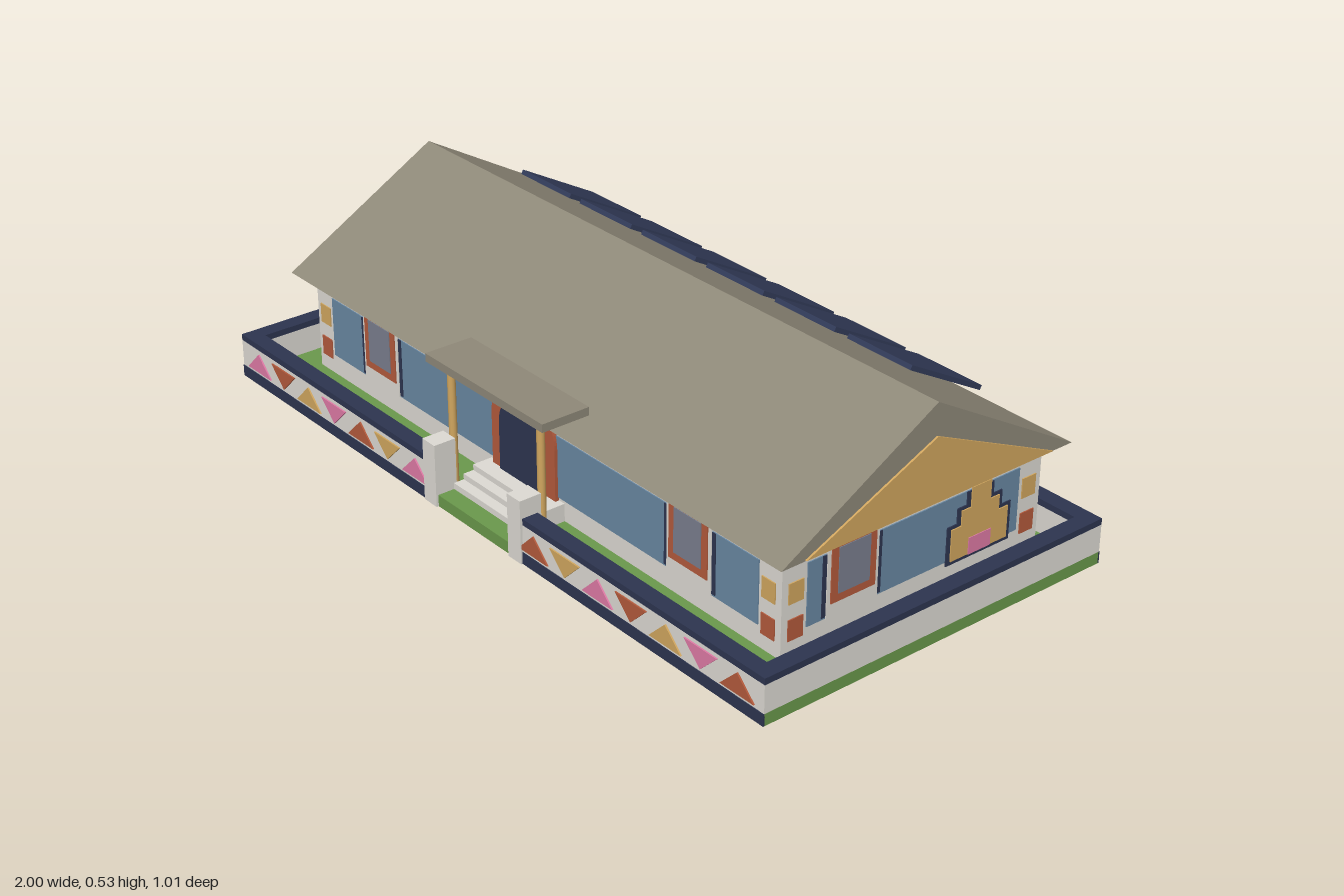
import * as THREE from 'three';

const mat = (name, color) => Object.assign(new THREE.MeshStandardMaterial({ color }), { name });
const M = {
  roof: mat('roofTaupe', 0x8f8979),
  white: mat('limewash', 0xdedbd4),
  navy: mat('navy', 0x2d3550),
  green: mat('lawnGreen', 0x6b994c),
  ochre: mat('ochre', 0xd2a75f),
  blue: mat('wallBlue', 0x6988a3),
  terra: mat('terracotta', 0xb45a3c),
  glass: mat('windowGlass', 0x7b7f8e),
  pink: mat('pink', 0xdf7ba6),
  solar: mat('solarBlue', 0x323b59),
};
const CZ = -0.04; // centre of the house in z

function add(parent, name, geo, material) {
  const mesh = new THREE.Mesh(geo, material);
  mesh.name = name;
  parent.add(mesh);
  return mesh;
}
// Box given by its limits on each axis
function box(parent, name, material, x0, x1, y0, y1, z0, z1) {
  const m = add(parent, name, new THREE.BoxGeometry(x1 - x0, y1 - y0, z1 - z0), material);
  m.position.set((x0 + x1) / 2, (y0 + y1) / 2, (z0 + z1) / 2);
  return m;
}
function extrude(parent, name, material, points, depth, z) {
  const shape = new THREE.Shape(points.map(([x, y]) => new THREE.Vector2(x, y)));
  const m = add(parent, name, new THREE.ExtrudeGeometry(shape, { depth, bevelEnabled: false }), material);
  m.position.z = z;
  return m;
}
// Flat plate on a facade, standing out from the wall plane z = 0
const plate = (g, name, m, x, halfW, y0, y1, out) =>
  box(g, name, m, x - halfW, x + halfW, y0, y1, out - 0.003, out);

function windowUnit(g, x) {
  plate(g, 'windowNavyBand', M.navy, x, 0.085, 0.09, 0.243, 0.005);
  plate(g, 'windowSurround', M.white, x, 0.074, 0.085, 0.28, 0.007);
  plate(g, 'windowFrame', M.terra, x, 0.064, 0.12, 0.27, 0.010);
  plate(g, 'windowGlass', M.glass, x, 0.045, 0.14, 0.253, 0.012);
}

// Stepped pyramid ornament with a navy outline
function motif(g, x) {
  const tiers = [[0.087, 0.165], [0.058, 0.203], [0.03, 0.252]];
  tiers.forEach(([w, top], i) => {
    const bottom = i ? tiers[i - 1][1] : 0.085;
    plate(g, 'motifOutline', M.navy, x, w + 0.011, bottom - 0.01 * (i ? 0 : 1), Math.min(top + 0.008, 0.243), 0.006);
    plate(g, 'motifTier', M.ochre, x, w, bottom, top, 0.009);
  });
  plate(g, 'motifHeart', M.pink, x, 0.034, 0.085, 0.127, 0.011);
}

function facade(parent, name, halfW, windows, motifs) {
  const g = new THREE.Group();
  g.name = name;
  plate(g, 'bluePanel', M.blue, 0, halfW - 0.07, 0.085, 0.243, 0.003);
  for (const s of [-1, 1]) {
    const x = s * (halfW - 0.038);
    plate(g, 'cornerOchreTile', M.ochre, x, 0.021, 0.16, 0.211, 0.004);
    plate(g, 'cornerTerracottaTile', M.terra, x, 0.021, 0.07, 0.122, 0.004);
  }
  windows.forEach((x) => windowUnit(g, x));
  motifs.forEach((x) => motif(g, x));
  parent.add(g);
  return g;
}

// Boundary wall, with a gate gap at the front
function buildYard(root) {
  box(root, 'lawn', M.green, -1, 1, 0, 0.03, -0.5, 0.5);
  const run = (name, x0, x1, z0, z1) => {
    box(root, name, M.white, x0, x1, 0.03, 0.1, z0, z1);
    box(root, name + 'Cap', M.navy, x0, x1, 0.1, 0.116, z0, z1);
  };
  for (const s of [-1, 1]) {
    const [a, b] = s < 0 ? [-1, -0.957] : [0.957, 1];
    run('sideWall', a, b, -0.457, 0.457);
    const [c, d] = s < 0 ? [-1, -0.16] : [0.16, 1];
    run('frontWall', c, d, 0.457, 0.5);
    box(root, 'frontWallBase', M.navy, c, d, 0, 0.03, 0.498, 0.502);
    box(root, 'gatePost', M.white, s * 0.164 - 0.024, s * 0.164 + 0.024, 0, 0.162, 0.447, 0.506);
  }
  run('backWall', -1, 1, -0.5, -0.457);
  box(root, 'backWallBase', M.navy, -1, 1, 0, 0.03, -0.502, -0.498);

  // Alternating triangles along front and back
  const colors = [M.pink, M.terra, M.ochre];
  for (let i = 0; i < 17; i++) {
    const x = (i - 8) * 0.1148, up = i % 2 === 0;
    const [base, tip] = up ? [0.038, 0.09] : [0.09, 0.038];
    const pts = [[x - 0.053, base], [x + 0.053, base], [x, tip]];
    if (Math.abs(i - 8) > 1) extrude(root, 'frontTriangle', colors[i % 3], pts, 0.005, 0.499);
    extrude(root, 'backTriangle', colors[i % 3], pts, 0.005, -0.504);
  }
}

function buildRoof(root) {
  const prism = (name, m, half, y0, y1, len) => {
    const mesh = extrude(root, name, m, [[-half, y0], [half, y0], [0, y1]], len, 0);
    mesh.rotation.y = Math.PI / 2;
    mesh.position.set(-len / 2, 0, CZ);
  };
  prism('roof', M.roof, 0.43, 0.285, 0.53, 1.84);
  prism('gablePanels', M.ochre, 0.365, 0.288, 0.45, 1.85);

  // Row of tilted solar panels above the rear slope
  for (let i = 0; i < 6; i++) {
    const p = add(root, 'solarPanel', new THREE.BoxGeometry(0.2, 0.012, 0.256), M.solar);
    p.position.set((i - 2.5) * 0.2415, 0.418, -0.288);
    p.rotation.x = -0.5;
  }
}

// Arched doorway, canopy, columns and steps
function buildEntrance(root) {
  const arch = (name, m, r, y, z, depth) => {
    const s = new THREE.Shape();
    s.moveTo(-r, 0.03);
    s.lineTo(r, 0.03);
    s.lineTo(r, y);
    s.absarc(0, y, r, 0, Math.PI, false);
    s.closePath();
    const geo = new THREE.ExtrudeGeometry(s, { depth, bevelEnabled: false, curveSegments: 16 });
    add(root, name, geo, m).position.z = z;
  };
  arch('doorSurround', M.terra, 0.12, 0.208, 0.338, 0.018);
  arch('door', M.navy, 0.085, 0.2, 0.35, 0.011);
  box(root, 'canopy', M.roof, -0.222, 0.222, 0.335, 0.356, 0.335, 0.465);
  for (const s of [-1, 1]) {
    const c = add(root, 'porchColumn', new THREE.CylinderGeometry(0.01, 0.01, 0.285, 12), M.ochre);
    c.position.set(s * 0.17, 0.1725, 0.431);
  }
  for (let i = 0; i < 3; i++)
    box(root, 'step', M.white, -0.14, 0.14, 0.03, 0.046 + i * 0.015, 0.34, 0.455 - i * 0.028);
}

export function createModel() {
  const root = new THREE.Group();
  root.name = 'house';
  buildYard(root);

  const hx = 0.875, hz = 0.385;
  box(root, 'houseBody', M.white, -hx, hx, 0.03, 0.288, CZ - hz, CZ + hz);
  facade(root, 'frontFacade', hx, [-0.585, 0.585], []).position.z = CZ + hz;
  const back = facade(root, 'backFacade', hx, [-0.585, 0.585], [0]);
  back.position.z = CZ - hz;
  back.rotation.y = Math.PI;
  for (const s of [-1, 1]) {
    const side = facade(root, 'sideFacade', hz, [-s * 0.19], [s * 0.19]);
    side.position.set(s * hx, 0, CZ);
    side.rotation.y = s * Math.PI / 2;
  }

  buildRoof(root);
  buildEntrance(root);
  return root;
}
